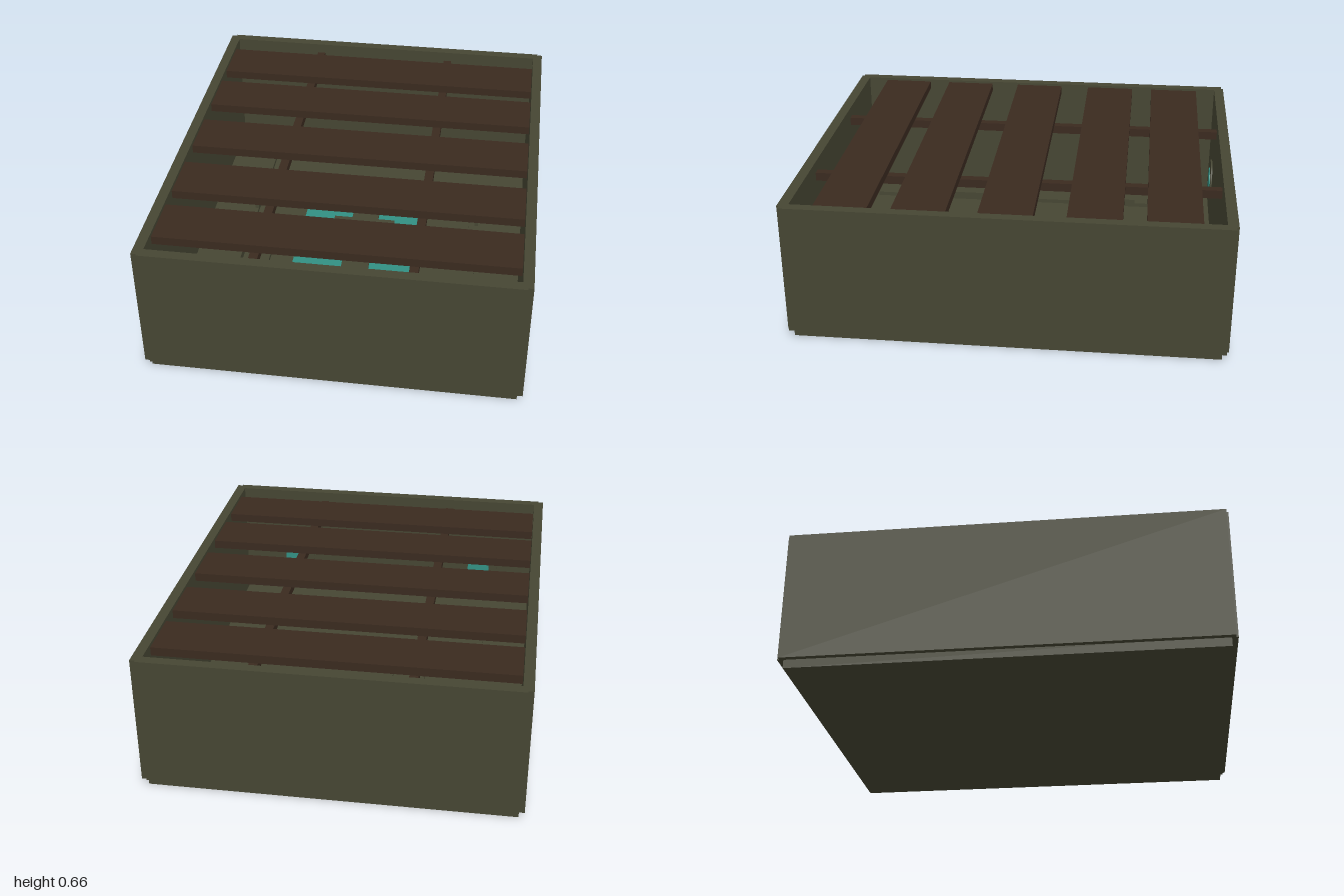
import * as THREE from 'three';

const mat = (name, color) => {
  const m = new THREE.MeshStandardMaterial({ color });
  m.name = name;
  return m;
};

export function createModel() {
  const olive = mat('olive', 0x464633);
  const brown = mat('dark wood', 0x3a2a1f);
  const teal = mat('teal', 0x329083);
  const model = new THREE.Group();
  model.name = 'slattedCrate';

  const add = (name, geometry, material, x, y, z) => {
    const mesh = new THREE.Mesh(geometry, material);
    mesh.position.set(x, y, z);
    mesh.name = name;
    model.add(mesh);
    return mesh;
  };
  // Box given by centre and half width in x and z, and its extent in y
  const block = (name, material, x, hx, y0, y1, z, hz) =>
    add(name, new THREE.BoxGeometry(hx * 2, y1 - y0, hz * 2), material, x, (y0 + y1) / 2, z);
  // Thin round plate facing along z
  const disc = (name, material, x, y, z, radius, depth) => {
    add(name, new THREE.CylinderGeometry(radius, radius, depth, 24), material, x, y, z)
      .rotation.x = Math.PI / 2;
  };

  // Recessed base, whose top is the inner floor
  block('base', olive, 0, 0.835, 0, 0.05, 0, 0.972);

  for (const s of [-1, 1]) {
    // Outer walls, with the end walls standing slightly proud at the corners
    block('sideWall', olive, s * 0.8365, 0.0235, 0.04, 0.66, 0, 0.99);
    block('endWall', olive, 0, 0.835, 0.04, 0.66, s * 0.976, 0.024);

    // Stringers carrying the slats
    block('stringer', brown, s * 0.35, 0.02, 0.57, 0.61, 0, 0.952);

    // Low side platforms
    block('sidePlatform', olive, s * 0.678, 0.104, 0.05, 0.07, 0, 0.88);

    for (const t of [-1, 1]) {
      // Teal floor panels in the four quarters
      block('floorPanel', teal, s * 0.193, 0.125, 0.05, 0.058, t * 0.193, 0.125);
      // Ribs on the platforms
      block('platformRib', olive, s * 0.583, 0.009, 0.07, 0.09, t * 0.37, 0.18);
      // Round plates with teal centres on the end walls
      disc('endPlate', olive, s * 0.525, 0.26, t * 0.949, 0.105, 0.01);
      disc('endPlateCentre', teal, s * 0.525, 0.26, t * 0.942, 0.06, 0.006);
    }
    // Small round front plates and one pad beside each platform
    disc('frontPlate', olive, s * 0.19, 0.26, 0.948, 0.055, 0.01);
    block('platformPad', olive, s * 0.49, 0.055, 0.05, 0.07, s * -0.2, 0.045);
  }

  // Floor cross with a wider hub
  block('floorSpine', olive, 0, 0.068, 0.05, 0.07, 0, 0.318);
  block('floorArm', olive, 0, 0.318, 0.05, 0.069, 0, 0.068);
  block('floorHub', olive, 0, 0.158, 0.05, 0.085, 0, 0.158);

  // Five slats across the top
  for (const z of [-0.733, -0.3875, 0, 0.3825, 0.73]) {
    block('slat', brown, 0, 0.81, 0.61, 0.65, z, 0.121);
  }
  return model;
}
